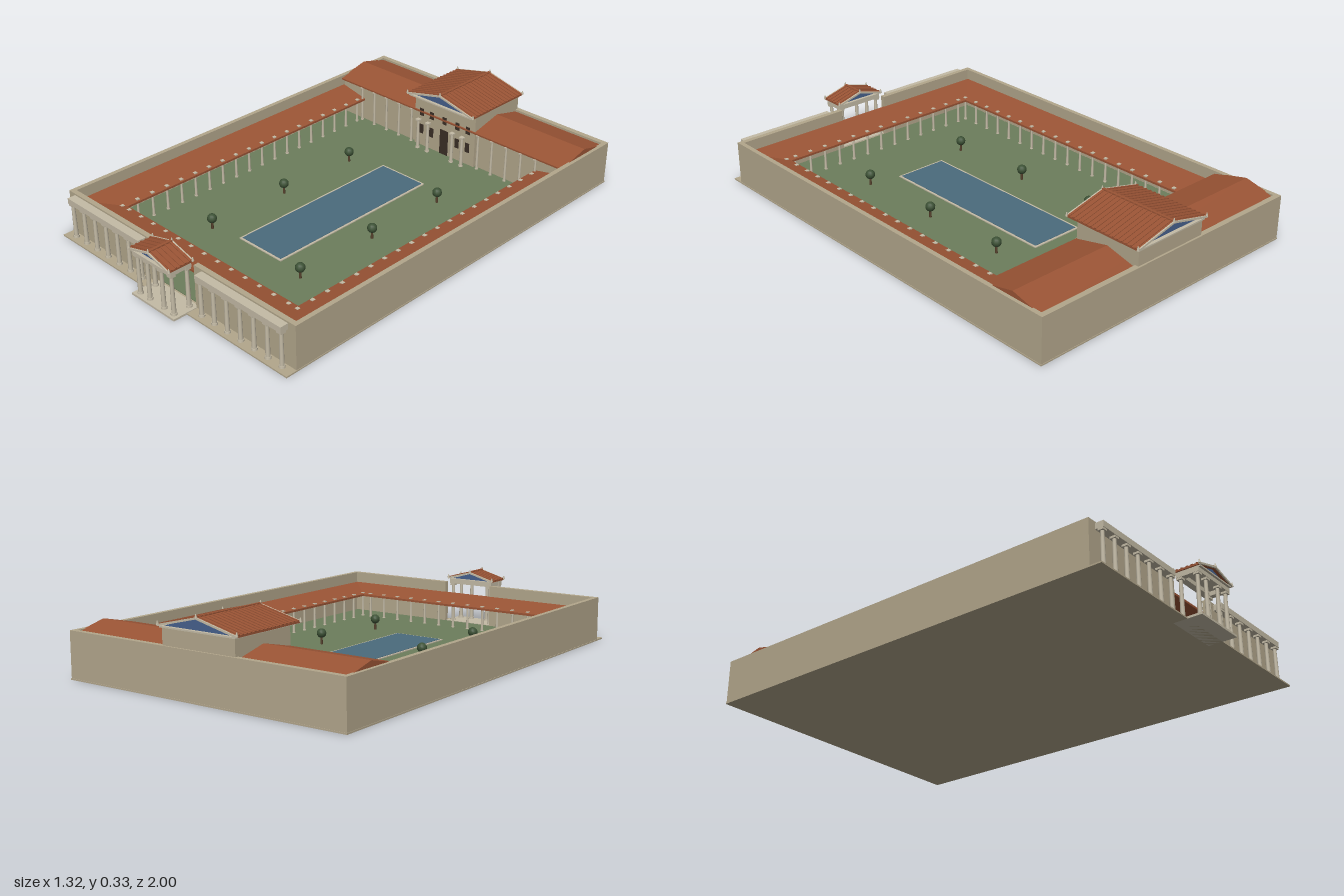
import * as THREE from 'three';

const mat = (color) => new THREE.MeshStandardMaterial({ color, side: THREE.DoubleSide });
const STONE = mat(0xb3a78c), TRIM = mat(0xc4bba6), ROOF = mat(0x9a5435), GRASS = mat(0x6c7d5c);
const WATER = mat(0x4b6b7c), BLUE = mat(0x46608c), DARK = mat(0x3a2e26), LEAF = mat(0x3d5236), BARK = mat(0x55402c);

function add(parent, name, geo, material, x = 0, y = 0, z = 0) {
  const m = new THREE.Mesh(geo, material);
  m.name = name;
  m.position.set(x, y, z);
  parent.add(m);
  return m;
}

// box given by its limits
function block(parent, name, material, x0, x1, y0, y1, z0, z1) {
  return add(parent, name, new THREE.BoxGeometry(x1 - x0, y1 - y0, z1 - z0), material,
    (x0 + x1) / 2, (y0 + y1) / 2, (z0 + z1) / 2);
}

// outline in x/y pushed from z0 to z1
function prism(parent, name, material, pts, z0, z1) {
  const shape = new THREE.Shape(pts.map(([x, y]) => new THREE.Vector2(x, y)));
  const geo = new THREE.ExtrudeGeometry(shape, { depth: z1 - z0, bevelEnabled: false });
  return add(parent, name, geo, material, 0, 0, z0);
}

// tapered column with base and capital
function column(parent, name, x, z, y0, y1, r, material = TRIM) {
  const g = new THREE.Group();
  g.name = name;
  g.position.set(x, y0, z);
  const h = y1 - y0, c = r * 0.9;
  add(g, 'shaft', new THREE.CylinderGeometry(r * 0.78, r, h - 2 * c, 10), material, 0, h / 2, 0);
  add(g, 'base', new THREE.CylinderGeometry(r * 1.25, r * 1.35, c, 10), material, 0, c / 2, 0);
  add(g, 'capital', new THREE.BoxGeometry(r * 2.5, c, r * 2.5), material, 0, h - c / 2, 0);
  parent.add(g);
}

// gabled tiled roof with pediments, ridge along z
function gable(parent, name, w, eave, ridge, z0, z1, ribs) {
  const g = new THREE.Group();
  g.name = name;
  parent.add(g);
  const t = 0.008, len = Math.hypot(w, ridge - eave), ang = Math.atan2(ridge - eave, w);
  const chevron = [[-w, eave - t], [0, ridge - t], [w, eave - t], [w, eave], [0, ridge], [-w, eave]];
  prism(g, 'tiles', ROOF, chevron, z0 + 0.006, z1 - 0.006);
  prism(g, 'pedimentPanel', BLUE, [[-w + 0.01, eave - t], [w - 0.01, eave - t], [0, ridge - t]], z0 + 0.018, z1 - 0.018);
  block(g, 'soffit', TRIM, -w + 0.008, w - 0.008, eave - t - 0.004, eave - t + 0.002, z0 + 0.004, z1 - 0.004);
  for (const z of [z0, z1 - 0.007]) {
    prism(g, 'rakingCornice', TRIM, chevron, z, z + 0.007);
    for (const [x, y] of [[-w, eave], [0, ridge], [w, eave]]) {
      add(g, 'finial', new THREE.CylinderGeometry(0.002, 0.006, 0.016, 6), TRIM, x, y + 0.004, z + 0.0035);
    }
  }
  for (let i = 0; i < ribs; i++) {
    const z = z0 + 0.016 + (i * (z1 - z0 - 0.032)) / (ribs - 1);
    for (const s of [-1, 1]) {
      const rib = add(g, 'tileRib', new THREE.BoxGeometry(len, 0.006, 0.007), ROOF, (s * w) / 2, (eave + ridge) / 2, z);
      rib.rotation.z = -s * ang;
    }
  }
  block(g, 'ridgeTile', ROOF, -0.006, 0.006, ridge - 0.005, ridge + 0.004, z0 + 0.006, z1 - 0.006);
}

export function createModel() {
  const root = new THREE.Group();
  root.name = 'walledVilla';

  // ground, steps and pool
  block(root, 'basePlate', STONE, -0.662, 0.662, 0, 0.006, -0.995, 0.93);
  block(root, 'gateStep', TRIM, -0.125, 0.125, 0, 0.009, 0.87, 0.992);
  block(root, 'lawn', GRASS, -0.635, 0.635, 0.004, 0.009, -0.97, 0.86);
  block(root, 'poolRim', TRIM, -0.122, 0.122, 0.004, 0.013, -0.41, 0.45);
  block(root, 'poolWater', WATER, -0.113, 0.113, 0.006, 0.0145, -0.401, 0.441);

  // perimeter wall
  const H = 0.195;
  block(root, 'backWall', STONE, -0.66, 0.66, 0, H, -0.993, -0.97);
  for (const s of [-1, 1]) {
    const span = (a, b) => (s > 0 ? [a, b] : [-b, -a]);
    block(root, 'sideWall', STONE, ...span(0.64, 0.66), 0, H, -0.99, 0.88);
    block(root, 'frontWall', STONE, ...span(0.12, 0.66), 0, H, 0.858, 0.88);

    // columned street facade
    block(root, 'facadeBeam', TRIM, ...span(0.165, 0.622), 0.163, 0.188, 0.878, 0.916);
    for (let i = 0; i < 7; i++) column(root, 'facadeColumn', s * (0.178 + i * 0.072), 0.902, 0.006, 0.163, 0.0095);

    // side walkway: roof falls inward to a row of columns
    prism(root, 'sideWalkRoof', ROOF, [[s * 0.5, 0.108], [s * 0.642, 0.138], [s * 0.642, 0.147], [s * 0.5, 0.117]], -0.69, 0.86);
    for (let i = 0; i < 19; i++) column(root, 'sideWalkColumn', s * 0.514, -0.65 + i * 0.0768, 0.008, 0.123, 0.006);
  }

  // front walkway
  const frontRoof = prism(root, 'frontWalkRoof', ROOF, [[0.715, 0.108], [0.86, 0.138], [0.86, 0.147], [0.715, 0.117]], -0.64, 0.64);
  frontRoof.rotation.y = -Math.PI / 2;
  frontRoof.position.set(0.64, 0, 0);
  for (let i = 0; i < 13; i++) column(root, 'frontWalkColumn', -0.468 + i * 0.078, 0.733, 0.008, 0.123, 0.006);

  // rear wing with a long gabled roof
  block(root, 'rearWing', STONE, -0.64, 0.64, 0.004, 0.18, -0.972, -0.695);
  const wingRoof = prism(root, 'rearWingRoof', ROOF, [[-0.975, 0.176], [-0.677, 0.176], [-0.677, 0.183], [-0.833, 0.219], [-0.975, 0.184]], 0, 1.29);
  wingRoof.rotation.y = -Math.PI / 2;
  wingRoof.position.set(0.645, 0, 0);
  for (let i = 0; i < 14; i++) {
    const x = -0.507 + i * 0.078;
    if (Math.abs(x) > 0.18) column(root, 'rearColumn', x, -0.68, 0.008, 0.177, 0.006);
  }

  // main house
  const house = new THREE.Group();
  house.name = 'mainHouse';
  root.add(house);
  block(house, 'houseWalls', STONE, -0.175, 0.175, 0.004, 0.266, -0.985, -0.682);
  gable(house, 'houseRoof', 0.19, 0.273, 0.318, -0.996, -0.637, 16);
  block(house, 'houseDoor', DARK, -0.023, 0.023, 0.008, 0.13, -0.69, -0.679);
  for (const x of [-0.135, -0.075, 0.075, 0.135]) {
    block(house, 'lowerWindow', DARK, x - 0.011, x + 0.011, 0.07, 0.115, -0.69, -0.679);
    column(house, 'houseColumn', x * 0.95, -0.65, 0.008, 0.155, 0.008);
  }
  for (const x of [-0.135, -0.075, 0, 0.075, 0.135]) {
    block(house, 'upperWindow', DARK, x - 0.011, x + 0.011, 0.16, 0.195, -0.69, -0.679);
  }

  // entrance porch
  const gate = new THREE.Group();
  gate.name = 'entrancePorch';
  root.add(gate);
  for (const x of [-0.1, -0.042, 0.042, 0.1]) column(gate, 'porchColumn', x, 0.97, 0.009, 0.186, 0.0095);
  for (const x of [-0.1, 0.1]) column(gate, 'porchRearColumn', x, 0.898, 0.009, 0.186, 0.0095);
  for (const z of [0.898, 0.97]) block(gate, 'porchBeam', TRIM, -0.113, 0.113, 0.186, 0.206, z - 0.013, z + 0.013);
  for (const x of [-0.1, 0.1]) block(gate, 'porchSideBeam', TRIM, x - 0.012, x + 0.012, 0.186, 0.206, 0.89, 0.98);
  gable(gate, 'porchRoof', 0.118, 0.216, 0.248, 0.877, 0.996, 5);

  // garden trees
  for (const x of [-0.26, 0.26]) {
    for (const z of [-0.333, 0.07, 0.475]) {
      const tree = new THREE.Group();
      tree.name = 'tree';
      tree.position.set(x, 0.008, z);
      root.add(tree);
      add(tree, 'trunk', new THREE.CylinderGeometry(0.004, 0.006, 0.04, 7), BARK, 0, 0.02, 0);
      add(tree, 'crown', new THREE.SphereGeometry(0.021, 12, 8), LEAF, 0, 0.05, 0);
    }
  }
  return root;
}
